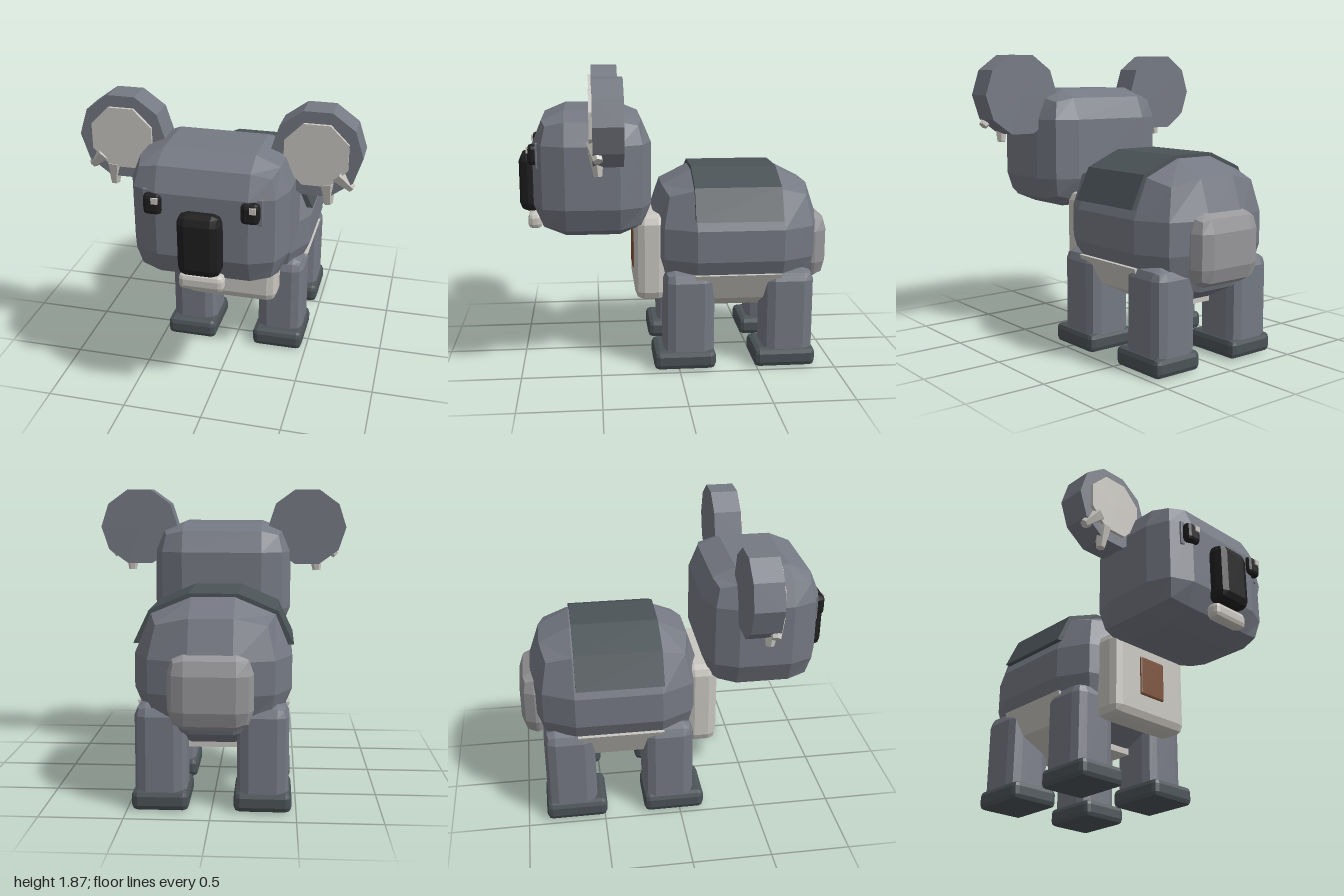
import * as THREE from 'three';

const paint = (name, color) => {
  const m = new THREE.MeshStandardMaterial({ color });
  m.name = name;
  return m;
};

export function createModel() {
  const grey = paint('fur grey', 0x757983);
  const slate = paint('dark slate', 0x4b5357);
  const cream = paint('pale fur', 0xc9c6c0);
  const tailGrey = paint('tail grey', 0x97979a);
  const black = paint('nose black', 0x1f1f1f);
  const brown = paint('patch brown', 0x7a4f37);

  const model = new THREE.Group();
  model.name = 'animal';

  // Faceted mesh: split faces so every facet has its own normal
  const add = (name, geometry, material, parent = model) => {
    const g = geometry.index ? geometry.toNonIndexed() : geometry;
    g.computeVertexNormals();
    const mesh = new THREE.Mesh(g, material);
    mesh.name = name;
    parent.add(mesh);
    return mesh;
  };

  // Box given by its bounds, with two-facet rounded edges of radius r (number or [x, y, z])
  const softBox = (x, y, z, r) => {
    const bounds = [x, y, z];
    const radius = Array.isArray(r) ? r : [r, r, r];
    const g = new THREE.BoxGeometry(2, 2, 2, 3, 3, 3);
    const p = g.attributes.position;
    for (let i = 0; i < p.count; i++) {
      const v = [p.getX(i), p.getY(i), p.getZ(i)];
      const outer = v.filter((c) => Math.abs(c) > 0.9).length;
      const q = v.map((c, k) => {
        const [a, b] = bounds[k];
        const inner = (b - a) / 2 - radius[k];
        const reach = Math.abs(c) > 0.9 ? radius[k] / Math.sqrt(outer) : 0;
        return (a + b) / 2 + Math.sign(c) * (inner + reach);
      });
      p.setXYZ(i, ...q);
    }
    return g;
  };

  // Band wrapped around the trunk, extruded along z
  const band = (points, z0, z1) => {
    const left = points.map(([x, y]) => [-x, y]).reverse();
    const shape = new THREE.Shape([...points, ...left].map(([x, y]) => new THREE.Vector2(x, y)));
    return new THREE.ExtrudeGeometry(shape, { depth: z1 - z0, bevelEnabled: false }).translate(0, 0, z0);
  };

  // Trunk
  add('body', softBox([-0.47, 0.47], [0.37, 1.25], [-0.94, 0.17], [0.34, 0.34, 0.28]), grey);
  add('backSaddle', band([[0.4, 0.97], [0.48, 0.97], [0.385, 1.17], [0.15, 1.27]], -0.65, -0.1), slate);
  add('belly', band([[0.4, 0.62], [0.46, 0.62], [0.385, 0.45], [0.15, 0.335]], -0.65, -0.1), cream);
  add('chest', softBox([-0.31, 0.31], [0.415, 0.98], [0.06, 0.27], 0.06), cream);
  add('chestPatch', softBox([-0.103, 0.103], [0.583, 0.845], [0.25, 0.28], 0.012), brown);
  add('tail', softBox([-0.25, 0.25], [0.51, 0.96], [-1, -0.8], [0.1, 0.12, 0.09]), tailGrey);

  // Legs and feet
  for (const s of [-1, 1]) {
    for (const [end, leg, foot] of [['front', -0.067, -0.037], ['rear', -0.705, -0.68]]) {
      const limb = new THREE.Group();
      limb.name = end + (s > 0 ? 'LeftLeg' : 'RightLeg');
      limb.position.x = s * 0.302;
      model.add(limb);
      add('leg', softBox([-0.153, 0.153], [0.04, 0.64], [leg - 0.162, leg + 0.162], 0.07), grey, limb);
      add('foot', softBox([-0.17, 0.17], [0, 0.125], [foot - 0.198, foot + 0.198], 0.035), slate, limb);
    }
  }

  // Head
  const head = new THREE.Group();
  head.name = 'headGroup';
  model.add(head);
  add('head', softBox([-0.47, 0.47], [0.86, 1.65], [0.165, 0.9], 0.2), grey, head);
  add('nose', softBox([-0.13, 0.13], [0.98, 1.365], [0.86, 1], 0.055), black, head);
  add('chin', softBox([-0.135, 0.135], [0.87, 0.97], [0.86, 0.95], 0.03), cream, head);

  // Flat-topped disc facing the front
  const disc = (radius, sides, z0, z1) =>
    new THREE.CylinderGeometry(radius, radius, z1 - z0, sides)
      .rotateY(Math.PI / sides)
      .rotateX(Math.PI / 2)
      .translate(0, 0, (z0 + z1) / 2);

  // Tapered ear tuft from a thick root to a thin tip
  const tuft = (a, b) => {
    const from = new THREE.Vector3(...a), to = new THREE.Vector3(...b);
    const dir = to.clone().sub(from);
    const g = new THREE.CylinderGeometry(0.028, 0.052, dir.length(), 6);
    g.applyQuaternion(new THREE.Quaternion().setFromUnitVectors(new THREE.Vector3(0, 1, 0), dir.normalize()));
    return g.translate(...from.add(to).multiplyScalar(0.5).toArray());
  };

  for (const s of [-1, 1]) {
    const side = s > 0 ? 'left' : 'right';

    // Ears with pale centres and tufts
    const ear = new THREE.Group();
    ear.name = side + 'Ear';
    ear.position.set(s * 0.583, 1.615, 0);
    head.add(ear);
    add('ear', disc(0.268, 10, 0.35, 0.53), grey, ear);
    add('innerEar', disc(0.201, 8, 0.52, 0.55), cream, ear);
    add('upperTuft', tuft([s * 0.12, -0.11, 0.52], [s * 0.21, -0.2, 0.5]), cream, ear);
    add('lowerTuft', tuft([s * 0.065, -0.17, 0.51], [s * 0.075, -0.31, 0.5]), cream, ear);

    // Eyes: brow patch, eye and glint
    const c = s * 0.283;
    const patch = s * 0.28;
    add(side + 'EyePatch', softBox([patch - 0.07, patch + 0.07], [1.3, 1.46], [0.8, 0.88], 0.005), grey, head);
    add(side + 'Eye', softBox([c - 0.054, c + 0.054], [1.32, 1.445], [0.86, 0.93], 0.025), black, head);
    add(side + 'EyeGlint', new THREE.BoxGeometry(0.038, 0.036, 0.03).translate(c + 0.02, 1.412, 0.922), cream, head);
  }

  return model;
}
